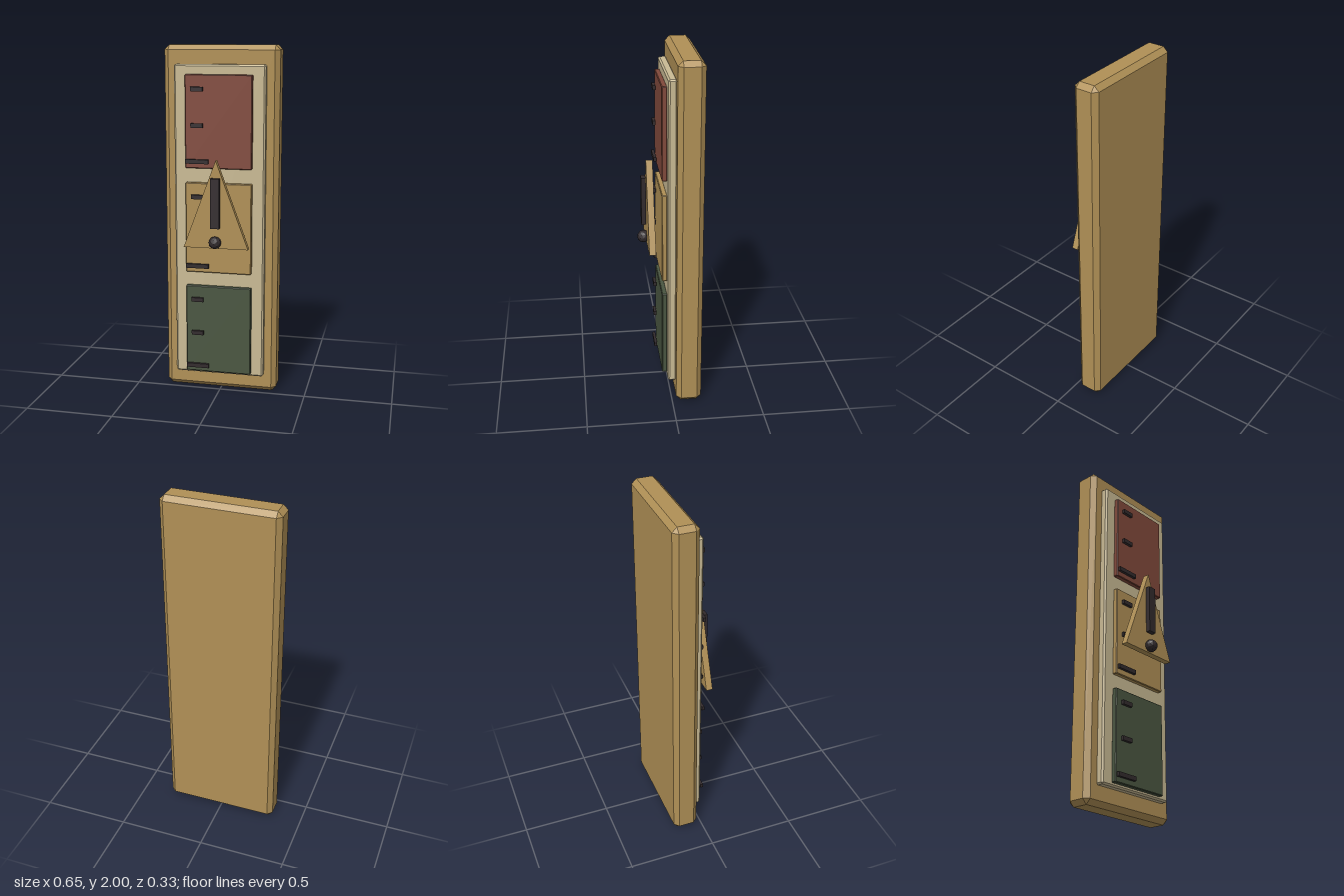
import * as THREE from 'three';
import { ConvexGeometry } from 'three/addons/geometries/ConvexGeometry.js';

const mat = (name, color) => {
  const m = new THREE.MeshStandardMaterial({ color, flatShading: true });
  m.name = name;
  return m;
};

// Box with every edge cut at 45 degrees
function chamferBox(w, h, d, c) {
  const pts = [];
  for (const sx of [-1, 1]) for (const sy of [-1, 1]) for (const sz of [-1, 1]) {
    const x = w / 2, y = h / 2, z = d / 2;
    pts.push(
      new THREE.Vector3(sx * x, sy * (y - c), sz * (z - c)),
      new THREE.Vector3(sx * (x - c), sy * y, sz * (z - c)),
      new THREE.Vector3(sx * (x - c), sy * (y - c), sz * z)
    );
  }
  return new ConvexGeometry(pts);
}

export function createModel() {
  const brass = mat('brass', 0xb09056);
  const cream = mat('cream', 0xc9ba94);
  const red = mat('brick red', 0x81493b);
  const green = mat('dark green', 0x4a5641);
  const iron = mat('dark iron', 0x322b2d);

  const group = new THREE.Group();
  group.name = 'wallGauge';
  const add = (name, geometry, material, x, y, z) => {
    const mesh = new THREE.Mesh(geometry, material);
    mesh.name = name;
    mesh.position.set(x, y, z);
    group.add(mesh);
  };

  // Case and face plate
  add('case', chamferBox(0.654, 2, 0.144, 0.027), brass, 0, 1, -0.096);
  add('facePlate', chamferBox(0.516, 1.79, 0.048, 0.009), cream, 0, 1, -0.006);

  // Three coloured zones, bottom to top
  [['lowerZone', green], ['middleZone', brass], ['upperZone', red]].forEach(([name, m], i) =>
    add(name, chamferBox(0.378, 0.518, 0.03, 0.004), m, 0, 0.382 + 0.6 * i, 0.03));

  // Scale marks: every third one is long
  for (let i = 0; i < 9; i++) {
    const long = i % 3 === 0;
    add(long ? 'longMark' : 'shortMark',
      new THREE.BoxGeometry(long ? 0.131 : 0.068, 0.024, 0.016), iron,
      -0.119, 0.163 + 0.2 * i, 0.058);
  }

  // Triangular pointer
  const triangle = new THREE.Shape([
    new THREE.Vector2(-0.184, 0.885),
    new THREE.Vector2(0.184, 0.885),
    new THREE.Vector2(0, 1.38)
  ]);
  add('pointer', new THREE.ExtrudeGeometry(triangle, { depth: 0.037, bevelEnabled: false }), brass, 0, 0, 0.077);

  // Needle bar and pivot knob
  add('needle', new THREE.BoxGeometry(0.05, 0.28, 0.026), iron, 0, 1.143, 0.13);
  add('knob', new THREE.IcosahedronGeometry(0.036, 1), iron, 0, 0.922, 0.131);

  return group;
}
